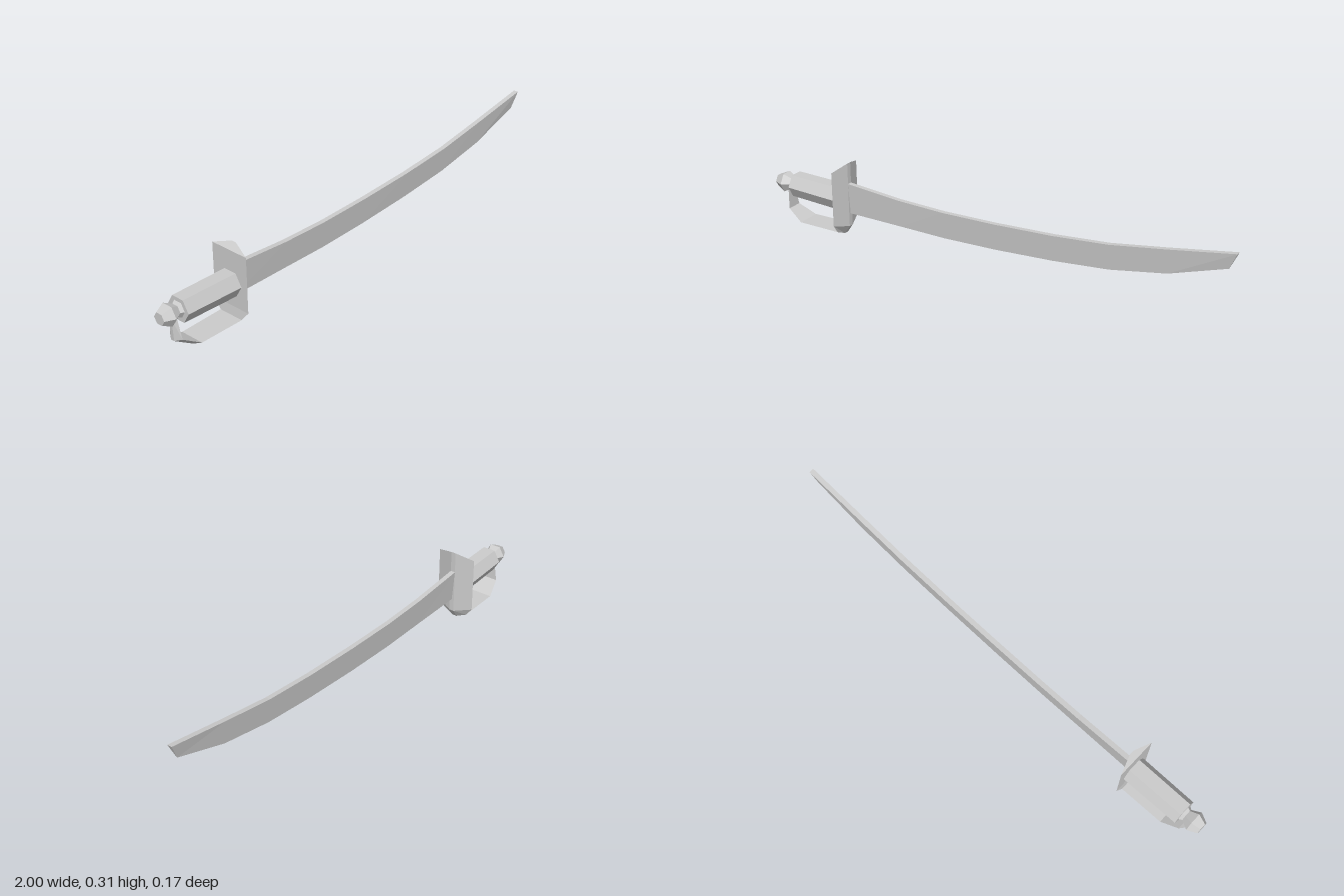
import * as THREE from 'three';

const material = new THREE.MeshStandardMaterial({ color: 0xcccccc, flatShading: true });

// Skin a row of equal-sized cross-sections and close both ends.
function loft(name, rings) {
  const n = rings[0].length;
  const index = [];
  for (let s = 0; s < rings.length - 1; s++) {
    for (let i = 0; i < n; i++) {
      const j = (i + 1) % n;
      const a = s * n + i, b = s * n + j;
      index.push(a, a + n, b + n, a, b + n, b);
    }
  }
  const last = (rings.length - 1) * n;
  for (let i = 1; i < n - 1; i++) {
    index.push(0, i, i + 1, last, last + i + 1, last + i);
  }
  const geometry = new THREE.BufferGeometry();
  geometry.setAttribute('position', new THREE.Float32BufferAttribute(rings.flat(2), 3));
  geometry.setIndex(index);
  const flat = geometry.toNonIndexed();
  flat.computeVertexNormals();
  const mesh = new THREE.Mesh(flat, material);
  mesh.name = name;
  return mesh;
}

// Hexagon across the x axis, flat on top; h is half its height.
function hexagon(x, y, h) {
  const r = h / Math.sin(Math.PI / 3);
  return Array.from({ length: 6 }, (_, i) => {
    const a = i * Math.PI / 3;
    return [x, y + r * Math.sin(a), r * Math.cos(a)];
  });
}

export function createModel() {
  const model = new THREE.Group();
  model.name = 'sabre';

  // Curved wedge blade: spine x, spine y, edge x, edge y
  const t = 0.01;
  const blade = [
    [-0.66, 0.221, -0.66, 0.09],
    [-0.4, 0.2, -0.4, 0.087],
    [-0.2, 0.194, -0.2, 0.084],
    [0.03, 0.198, 0.03, 0.09],
    [0.28, 0.209, 0.28, 0.104],
    [0.51, 0.228, 0.51, 0.125],
    [0.74, 0.264, 0.74, 0.166],
    [1.0, 0.308, 0.97, 0.242],
  ].map(([sx, sy, ex, ey]) => [[sx, sy, t], [sx, sy, -t], [ex, ey, 0]]);
  model.add(loft('blade', blade));

  // Guard and knuckle bow: flat inside, ridged outside
  // inner x, inner y, half width, outer x, outer y, ridge half width
  const ribbon = [
    [-0.67, 0.285, 0.083, -0.645, 0.307, 0.01],
    [-0.67, 0.058, 0.083, -0.645, 0.037, 0.01],
    [-0.675, 0.02, 0.053, -0.67, 0.001, 0.01],
    [-0.862, 0.02, 0.05, -0.868, 0.001, 0.01],
    [-0.932, 0.06, 0.032, -0.949, 0.052, 0.008],
    [-0.937, 0.142, 0.016, -0.953, 0.142, 0.006],
  ].map(([ix, iy, w, ox, oy, r]) => [[ix, iy, w], [ox, oy, r], [ox, oy, -r], [ix, iy, -w]]);
  model.add(loft('guard', ribbon.slice(0, 3)));
  model.add(loft('knuckleBow', ribbon.slice(2)));

  // Six-sided grip, slightly tilted
  model.add(loft('grip', [hexagon(-0.915, 0.162, 0.045), hexagon(-0.668, 0.153, 0.047)]));

  // Faceted pommel with a narrow neck
  model.add(loft('pommel', [
    hexagon(-1.0, 0.163, 0.022),
    hexagon(-0.962, 0.163, 0.038),
    hexagon(-0.928, 0.163, 0.022),
    hexagon(-0.913, 0.163, 0.03),
  ]));

  return model;
}
